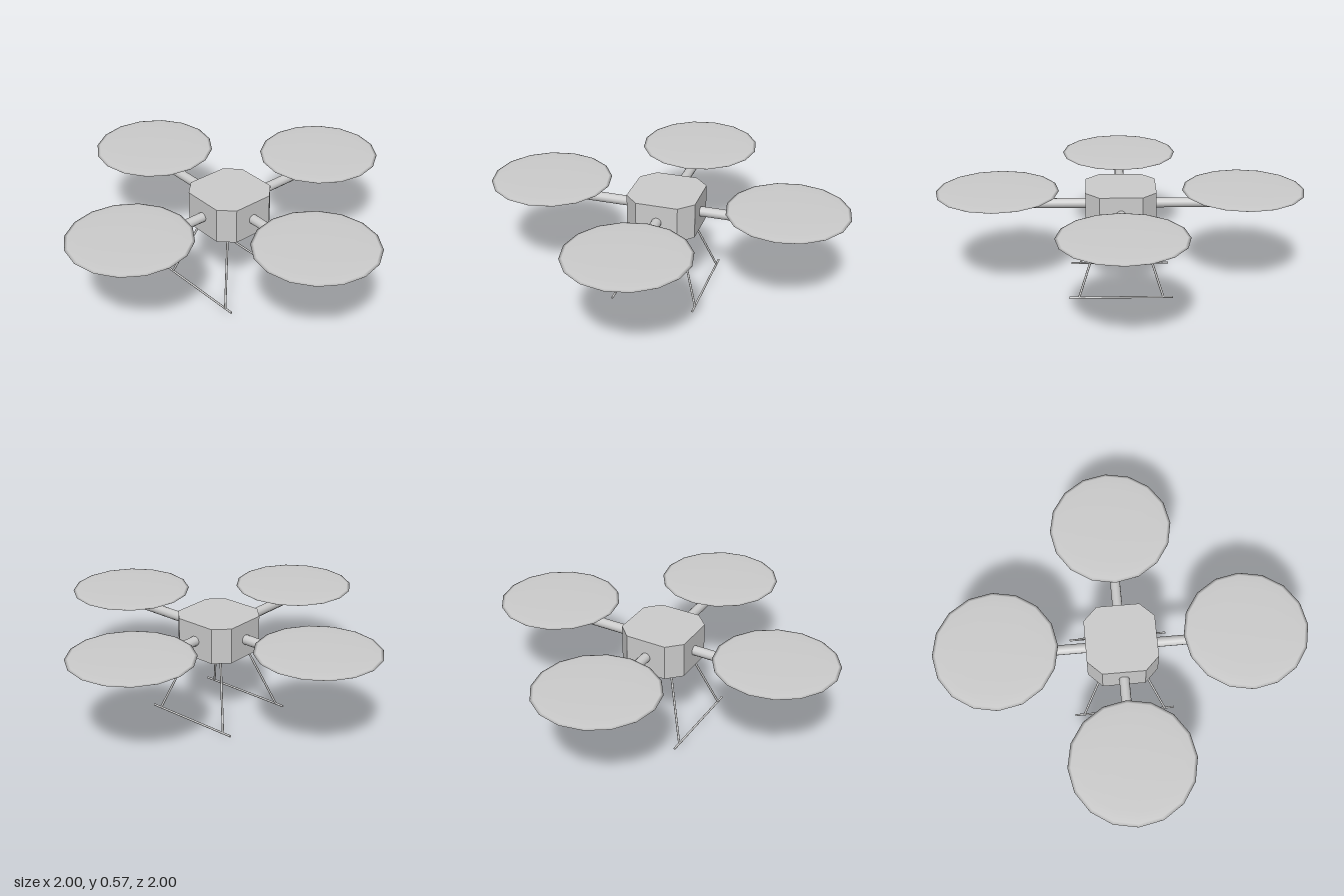
import * as THREE from 'three';

const material = new THREE.MeshStandardMaterial({ color: 0xcccccc });
const flat = new THREE.MeshStandardMaterial({ color: 0xcccccc, flatShading: true });

function add(parent, name, geometry, mat = material) {
  const mesh = new THREE.Mesh(geometry, mat);
  mesh.name = name;
  parent.add(mesh);
  return mesh;
}

// Straight rod between two points
function rod(parent, name, from, to, radius, sides) {
  const a = new THREE.Vector3(...from);
  const b = new THREE.Vector3(...to);
  const dir = b.clone().sub(a);
  const mesh = add(parent, name, new THREE.CylinderGeometry(radius, radius, dir.length(), sides));
  mesh.position.copy(a).add(b).multiplyScalar(0.5);
  mesh.quaternion.setFromUnitVectors(new THREE.Vector3(0, 1, 0), dir.normalize());
  return mesh;
}

export function createModel() {
  const model = new THREE.Group();
  model.name = 'quadcopter';

  // Square body with chamfered vertical corners
  const h = 0.19, c = 0.115;
  const outline = new THREE.Shape([
    [h, -c], [h, c], [c, h], [-c, h], [-h, c], [-h, -c], [-c, -h], [c, -h],
  ].map(([x, y]) => new THREE.Vector2(x, y)));
  const bodyGeometry = new THREE.ExtrudeGeometry(outline, { depth: 0.198, bevelEnabled: false });
  bodyGeometry.rotateX(-Math.PI / 2);
  add(model, 'body', bodyGeometry, flat).position.y = 0.368;

  // Four arms, each with a thin lens-shaped rotor disc above it
  for (let i = 0; i < 4; i++) {
    const unit = new THREE.Group();
    unit.name = 'armAndRotor';
    unit.rotation.y = i * Math.PI / 2;
    rod(unit, 'arm', [0.17, 0.468, 0], [0.7, 0.468, 0], 0.027, 12);
    const rotor = add(unit, 'rotorDisc', new THREE.SphereGeometry(0.333, 16, 10));
    rotor.scale.y = 0.03;
    rotor.position.set(0.667, 0.539, 0);
    model.add(unit);
  }

  // Landing gear: two splayed struts and a skid on each side
  for (const sz of [-1, 1]) {
    const gear = new THREE.Group();
    gear.name = 'landingGear';
    for (const sx of [-1, 1]) {
      rod(gear, 'strut', [sx * 0.1, 0.38, sz * 0.1], [sx * 0.228, 0.008, sz * 0.228], 0.006, 8);
    }
    rod(gear, 'skid', [-0.28, 0.006, sz * 0.228], [0.28, 0.006, sz * 0.228], 0.006, 8);
    model.add(gear);
  }

  return model;
}
